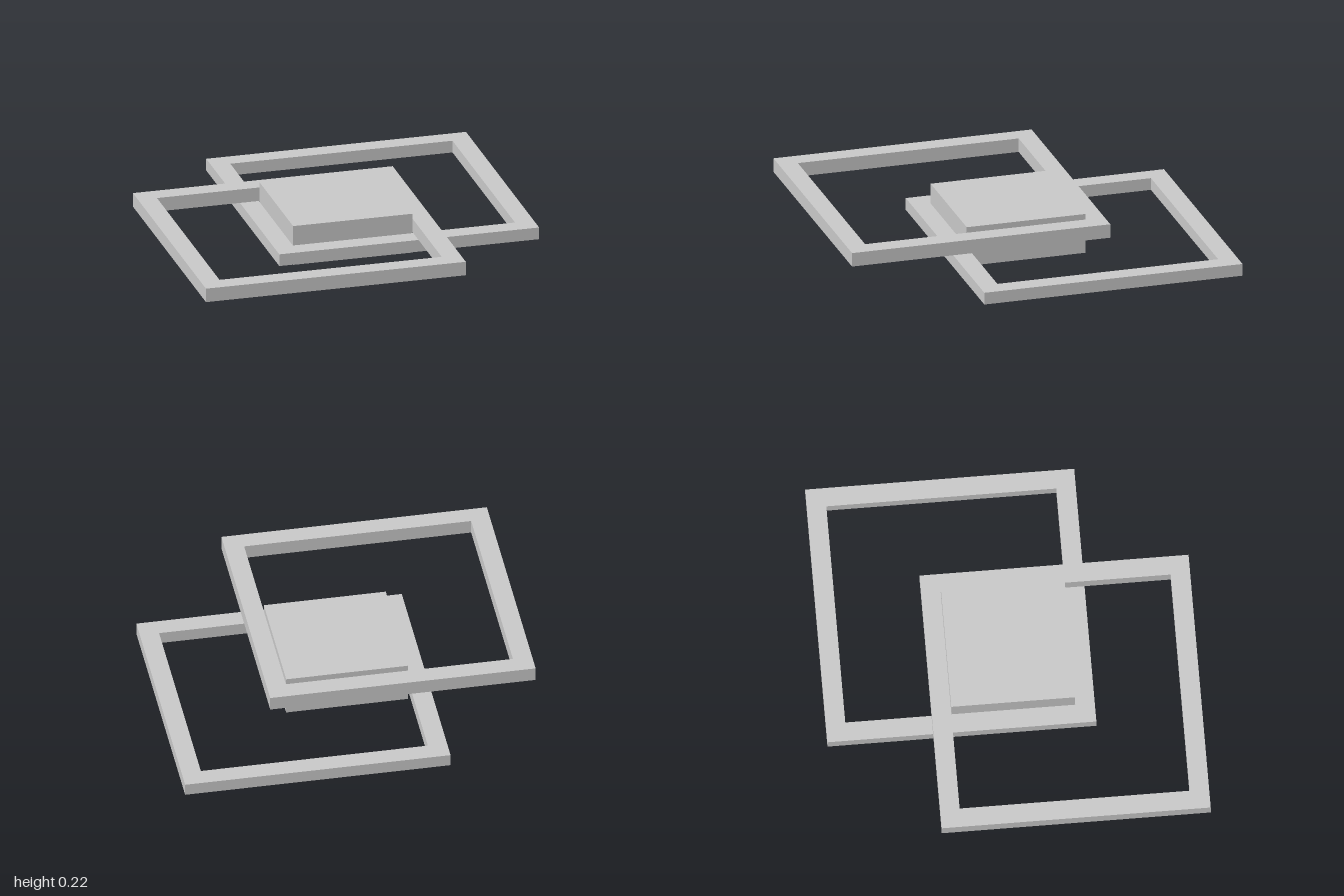
import * as THREE from 'three';

const material = new THREE.MeshStandardMaterial({ color: 0xcccccc, flatShading: true });

function square(path, half) {
  path.moveTo(-half, -half);
  path.lineTo(half, -half);
  path.lineTo(half, half);
  path.lineTo(-half, half);
  path.closePath();
  return path;
}

// Square ring lying flat, from height y0 to y1
function squareRing(name, outer, inner, y0, y1, x = 0, z = 0) {
  const shape = square(new THREE.Shape(), outer);
  shape.holes.push(square(new THREE.Path(), inner));
  const geometry = new THREE.ExtrudeGeometry(shape, { depth: y1 - y0, bevelEnabled: false });
  geometry.rotateX(-Math.PI / 2);
  const mesh = new THREE.Mesh(geometry, material);
  mesh.name = name;
  mesh.position.set(x, y0, z);
  return mesh;
}

export function createModel() {
  const model = new THREE.Group();
  model.name = 'ceilingLamp';

  // Two overlapping square frames, offset along opposite diagonals
  const outer = 0.718, inner = 0.614, offset = 0.282;
  model.add(squareRing('upperFrame', outer, inner, 0.114, 0.191, -offset, offset));
  model.add(squareRing('lowerFrame', outer, inner, 0.045, 0.112, offset, -offset));

  // Central block shared by both frames
  const half = 0.33, top = 0.222, recess = 0.02;
  const block = new THREE.Mesh(new THREE.BoxGeometry(half * 2, top - recess, half * 2), material);
  block.name = 'centreBlock';
  block.position.y = (top + recess) / 2;
  model.add(block);

  // Thin rim around the recessed underside
  model.add(squareRing('bottomRim', half, half - 0.02, 0, recess));

  return model;
}
